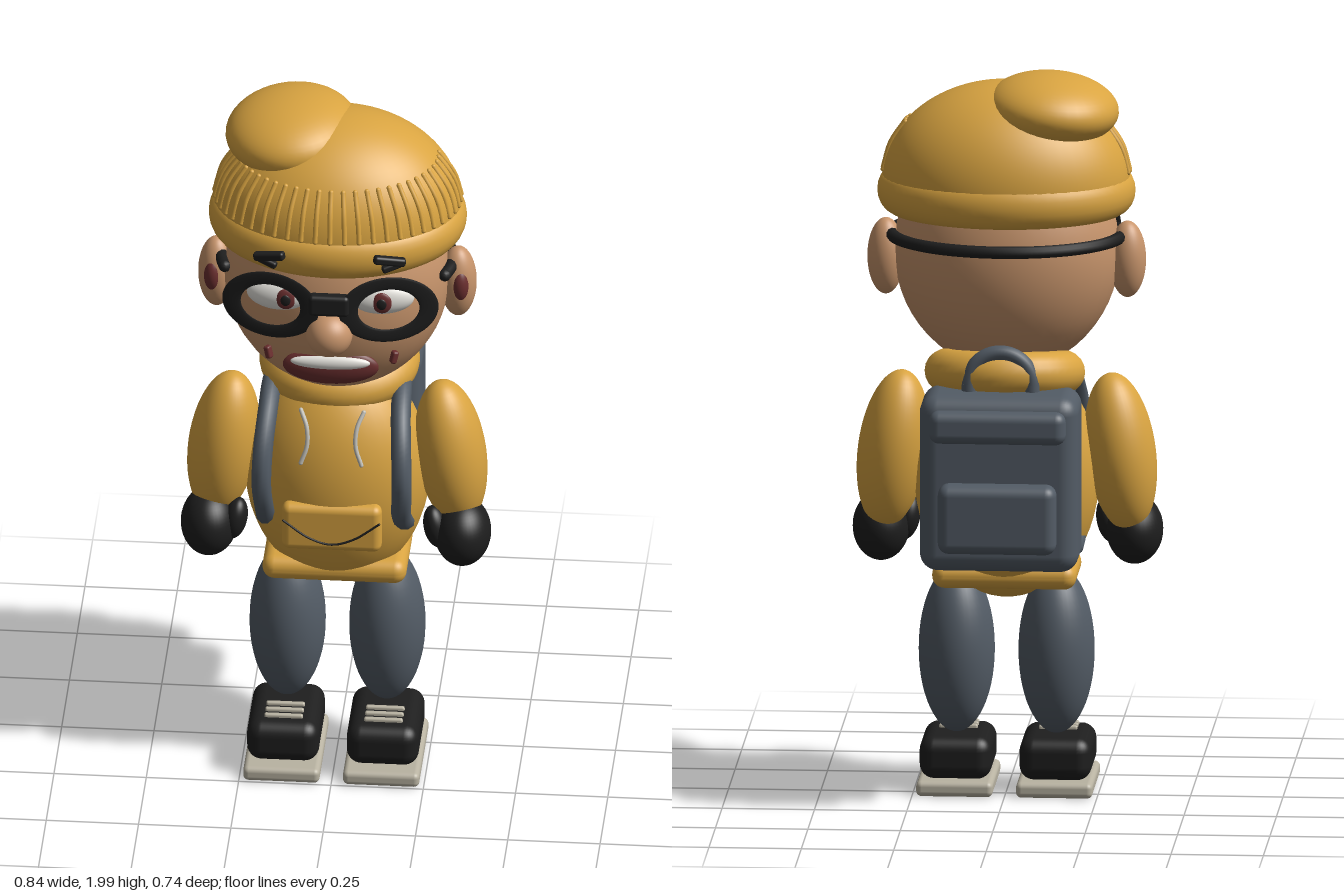
import * as THREE from 'three';
import { RoundedBoxGeometry } from 'three/addons/geometries/RoundedBoxGeometry.js';

const mat = (name, color) => new THREE.MeshStandardMaterial({ name, color });

export function createModel() {
  const model = new THREE.Group();
  const yellow = mat('mustard yellow', 0xd9a441);
  const skin = mat('skin', 0xc8956c);
  const grey = mat('slate grey', 0x535c66);
  const black = mat('soft black', 0x1e1e1e);
  const red = mat('dark red', 0x6b2f2f);
  const white = mat('white', 0xe8e6e0);
  const cream = mat('sole cream', 0xb9b3a2);
  const cord = mat('cord grey', 0xc4c2ba);

  const add = (name, geometry, material, pos = [0, 0, 0], rot = [0, 0, 0]) => {
    const m = new THREE.Mesh(geometry, material);
    m.name = name;
    m.position.set(...pos);
    m.rotation.set(...rot);
    model.add(m);
    return m;
  };
  const ball = (name, material, pos, r, rot) => {
    const m = add(name, new THREE.SphereGeometry(1, 40, 28), material, pos, rot);
    m.scale.set(...r);
    return m;
  };
  const box = (name, material, pos, size, radius, rot) =>
    add(name, new RoundedBoxGeometry(...size, 4, radius), material, pos, rot);
  // tube through points with rounded ends
  const tube = (name, material, pts, r, segs = 32) => {
    const v = pts.map(p => new THREE.Vector3(...p));
    add(name, new THREE.TubeGeometry(new THREE.CatmullRomCurve3(v), segs, r, 10), material);
    for (const e of [pts[0], pts[pts.length - 1]])
      add(name + 'End', new THREE.SphereGeometry(r, 10, 8), material, e);
  };

  // torso, hem, hood and front pocket
  ball('torso', yellow, [0, 0.88, 0.035], [0.25, 0.335, 0.195]);
  box('hem', yellow, [0, 0.62, 0.037], [0.39, 0.07, 0.255], 0.033);
  const hood = add('hood', new THREE.TorusGeometry(0.145, 0.06, 20, 48), yellow, [0, 1.18, -0.035], [Math.PI / 2 + 0.16, 0, 0]);
  hood.scale.set(1.06, 0.96, 1);
  ball('neck', yellow, [0, 1.15, 0], [0.17, 0.06, 0.14]);
  box('frontPocket', yellow, [0, 0.8, 0.215], [0.27, 0.14, 0.05], 0.022);
  tube('pocketStitch', black, [[-0.13, 0.825, 0.241], [-0.06, 0.775, 0.243], [0, 0.757, 0.243], [0.06, 0.775, 0.243], [0.13, 0.825, 0.241]], 0.003);

  // limbs and everything paired
  for (const s of [1, -1]) {
    ball('leg', grey, [s * 0.135, 0.4, 0.035], [0.103, 0.23, 0.115]);
    box('shoe', black, [s * 0.135, 0.107, 0.088], [0.195, 0.118, 0.265], 0.04);
    box('sole', cream, [s * 0.135, 0.029, 0.09], [0.207, 0.042, 0.32], 0.015);
    for (let i = 0; i < 3; i++)
      box('lace', cream, [s * 0.135, 0.168, 0.1 + i * 0.032], [0.105, 0.016, 0.014], 0.006);

    ball('arm', yellow, [s * 0.308, 0.945, 0.042], [0.095, 0.22, 0.11], [0, 0, s * 0.13]);
    ball('mitten', black, [s * 0.343, 0.725, 0.085], [0.077, 0.095, 0.095]);
    ball('thumb', black, [s * 0.272, 0.745, 0.1], [0.033, 0.062, 0.042], [0, 0, s * 0.2]);

    tube('backpackStrap', grey, [[s * 0.16, 1.12, -0.11], [s * 0.175, 1.15, 0.03], [s * 0.18, 1.11, 0.14],
      [s * 0.187, 1.03, 0.21], [s * 0.19, 0.93, 0.23], [s * 0.185, 0.82, 0.18],
      [s * 0.19, 0.73, 0.04], [s * 0.185, 0.705, -0.07], [s * 0.17, 0.74, -0.11]], 0.027, 64);
    tube('drawstring', cord, [[s * 0.085, 1.15, 0.2], [s * 0.068, 1.11, 0.222], [s * 0.066, 1.06, 0.236], [s * 0.082, 1.01, 0.245]], 0.006);

    // ears
    ball('ear', skin, [s * 0.327, 1.48, 0.037], [0.05, 0.105, 0.053]);
    ball('innerEar', red, [s * 0.335, 1.485, 0.068], [0.025, 0.05, 0.028]);

    // eyes, brows and cheek marks
    const gaze = s * 0.13 + 0.012;
    ball('eye', white, [s * 0.143, 1.553, 0.272], [0.085, 0.046, 0.032], [0, s * 0.15, 0]);
    ball('iris', red, [gaze, 1.553, 0.3], [0.027, 0.031, 0.01]);
    ball('pupil', black, [gaze, 1.553, 0.307], [0.014, 0.017, 0.006]);
    box('eyebrow', black, [s * 0.163, 1.685, 0.298], [0.09, 0.024, 0.024], 0.008, [0, s * 0.3, -s * 0.22]);
    box('eyebrowTuft', black, [s * 0.168, 1.666, 0.296], [0.055, 0.02, 0.02], 0.007, [0, s * 0.3, s * 0.3]);
    box('cheekMark', red, [s * 0.17, 1.35, 0.238], [0.018, 0.036, 0.02], 0.006, [0, s * 0.5, -s * 0.25]);

    // flat glasses rims, angled back at the outer side
    const rim = add('glassesRim', new THREE.TorusGeometry(0.11, 0.026, 16, 48), black, [s * 0.16, 1.53, 0.293], [0, s * 0.21, 0]);
    rim.scale.set(1, 0.74, 0.14);
  }

  // head and face
  ball('head', skin, [0, 1.5, 0.047], [0.305, 0.33, 0.25]);
  ball('nose', skin, [0, 1.453, 0.305], [0.063, 0.063, 0.063]);
  ball('mouth', red, [0, 1.325, 0.255], [0.13, 0.055, 0.026]);
  ball('teeth', white, [0, 1.343, 0.268], [0.108, 0.022, 0.018]);
  box('glassesBridge', black, [0, 1.548, 0.312], [0.11, 0.062, 0.035], 0.012);
  const band = [];
  for (let i = 0; i <= 20; i++) {
    const a = -0.3 + (Math.PI + 0.6) * i / 20;
    band.push([0.312 * Math.cos(a), 1.545, 0.047 - 0.258 * Math.sin(a)]);
  }
  tube('glassesBand', black, band, 0.017, 64);

  // knitted hat: brim, crown, ribs and floppy tip
  const section = [];
  for (let i = 0; i <= 20; i++) {
    const a = -Math.PI + Math.PI * 2 * i / 20;
    section.push(new THREE.Vector2(0.302 + 0.047 * Math.cos(a), 0.06 * Math.sin(a)));
  }
  add('hatBrim', new THREE.LatheGeometry(section, 64), yellow, [0, 1.67, 0.025]).scale.z = 0.81;
  const crown = add('hatCrown', new THREE.SphereGeometry(1, 56, 24, 0, Math.PI * 2, 0, Math.PI / 2), yellow, [0, 1.7, 0.022]);
  crown.scale.set(0.335, 0.27, 0.268);
  ball('hatTip', yellow, [-0.127, 1.904, -0.01], [0.18, 0.096, 0.195], [0, 0, 0.08]);
  for (let i = 0; i <= 28; i++) {
    const a = -0.1 + (Math.PI + 0.2) * i / 28;
    const pts = [0.1, 0.36, 0.62].map(e => [
      0.335 * Math.cos(a) * Math.cos(e), 1.7 + 0.27 * Math.sin(e), 0.022 + 0.268 * Math.sin(a) * Math.cos(e)]);
    tube('hatRib', yellow, pts, 0.007, 8);
  }

  // backpack
  box('backpack', grey, [0, 0.918, -0.192], [0.43, 0.485, 0.215], 0.05);
  box('backpackFlap', grey, [0, 1.085, -0.32], [0.37, 0.09, 0.06], 0.028);
  box('backpackPocket', grey, [0, 0.835, -0.33], [0.32, 0.19, 0.08], 0.03);
  add('backpackHandle', new THREE.TorusGeometry(0.085, 0.021, 14, 32, Math.PI), grey, [0, 1.18, -0.195]);
  for (const s of [1, -1])
    add('handleFoot', new THREE.CylinderGeometry(0.021, 0.021, 0.06, 14), grey, [s * 0.085, 1.15, -0.195]);

  return model;
}
